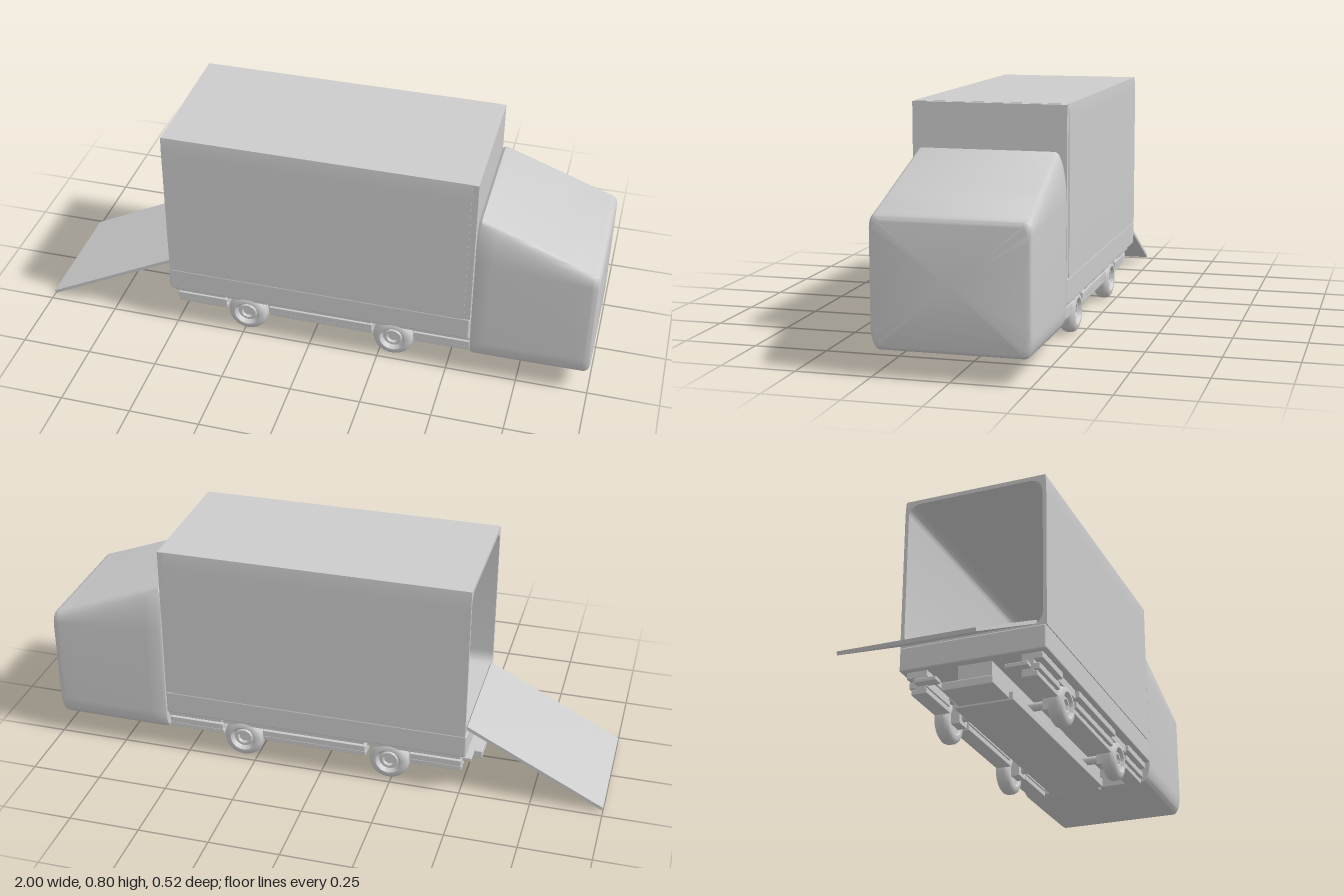
import * as THREE from 'three';
import { RoundedBoxGeometry } from 'three/addons/geometries/RoundedBoxGeometry.js';
import { toCreasedNormals } from 'three/addons/utils/BufferGeometryUtils.js';

const grey = new THREE.MeshStandardMaterial({ color: 0xcccccc });

function add(parent, name, geometry) {
  const mesh = new THREE.Mesh(geometry, grey);
  mesh.name = name;
  parent.add(mesh);
  return mesh;
}

// Box given by its limits, with optionally softened edges
function block(parent, name, [x0, x1], [y0, y1], [z0, z1], r = 0) {
  const size = [x1 - x0, y1 - y0, z1 - z0];
  const geo = r ? new RoundedBoxGeometry(...size, 2, r) : new THREE.BoxGeometry(...size);
  const mesh = add(parent, name, geo);
  mesh.position.set((x0 + x1) / 2, (y0 + y1) / 2, (z0 + z1) / 2);
  return mesh;
}

// Rounded rectangle outline in (across, up)
function roundRect(path, w, y0, y1, r) {
  path.moveTo(-w + r, y0);
  path.lineTo(w - r, y0);
  path.quadraticCurveTo(w, y0, w, y0 + r);
  path.lineTo(w, y1 - r);
  path.quadraticCurveTo(w, y1, w - r, y1);
  path.lineTo(-w + r, y1);
  path.quadraticCurveTo(-w, y1, -w, y1 - r);
  path.lineTo(-w, y0 + r);
  path.quadraticCurveTo(-w, y0, -w + r, y0);
  return path;
}

// Cab cross-section: elliptical corners, taller at the top towards the rear
function cabSection(x, y0, y1, w, topRx, topRy) {
  const pts = [];
  const steps = 8;
  const corner = (sz, sy, rx, ry, from) => {
    for (let k = 0; k <= steps; k++) {
      const a = from + (k / steps) * Math.PI / 2;
      const cy = sy > 0 ? y1 - ry : y0 + ry;
      pts.push([x, cy + ry * Math.sin(a), sz * (w - rx) + rx * Math.cos(a)]);
    }
  };
  corner(1, 1, topRx, topRy, 0);
  corner(-1, 1, topRx, topRy, Math.PI / 2);
  corner(-1, -1, 0.028, 0.07, Math.PI);
  corner(1, -1, 0.028, 0.07, Math.PI * 1.5);
  return pts;
}

// Skin a row of sections and close both ends
function loft(sections) {
  const n = sections[0].length;
  const pos = sections.flat(2);
  const index = [];
  for (let i = 0; i < sections.length - 1; i++) {
    for (let j = 0; j < n; j++) {
      const k = (j + 1) % n;
      const a = i * n + j, b = a + n, c = (i + 1) * n + k, d = i * n + k;
      index.push(a, b, c, a, c, d);
    }
  }
  [0, sections.length - 1].forEach((s, end) => {
    const ys = sections[s].map((p) => p[1]);
    const centre = pos.length / 3;
    pos.push(sections[s][0][0], (Math.min(...ys) + Math.max(...ys)) / 2, 0);
    for (let j = 0; j < n; j++) {
      const a = s * n + j, b = s * n + (j + 1) % n;
      index.push(centre, end ? b : a, end ? a : b);
    }
  });
  const geo = new THREE.BufferGeometry();
  geo.setAttribute('position', new THREE.Float32BufferAttribute(pos, 3));
  geo.setIndex(index);
  return toCreasedNormals(geo, 0.6);
}

function makeCab() {
  const sections = [cabSection(0.58, 0.09, 0.648, 0.256, 0.035, 0.16)];
  // Sloping roof, from the rear to the nose
  for (let i = 0; i <= 8; i++) {
    const t = i / 8;
    const x = 0.59 + t * 0.383;
    sections.push(cabSection(x, 0.085, 0.656 - 0.148 * t, 0.26 - 0.003 * t * t, 0.038 - 0.014 * t, 0.17 - 0.13 * t));
  }
  // Rounded nose edge
  for (let i = 1; i <= 5; i++) {
    const a = (i / 5) * Math.PI / 2;
    const inset = 0.024 * (1 - Math.cos(a));
    sections.push(cabSection(0.974 + 0.024 * Math.sin(a), 0.085 + inset, 0.507 - inset, 0.257 - inset * 0.6, 0.024, 0.04));
  }
  return loft(sections);
}

// Tyre with dished hub, outer side towards +y before turning
function makeWheel(side) {
  const profile = [
    [0, -0.02], [0.04, -0.02], [0.045, -0.027], [0.058, -0.027], [0.068, -0.02], [0.0725, -0.009],
    [0.0725, 0.009], [0.068, 0.02], [0.058, 0.027], [0.046, 0.028], [0.041, 0.022],
    [0.037, 0.012], [0.033, 0.012], [0.03, 0.019], [0.022, 0.019], [0.018, 0.01], [0, 0.01],
  ].map(([x, y]) => new THREE.Vector2(x, y));
  const geo = new THREE.LatheGeometry(profile, 40);
  geo.rotateX(side * Math.PI / 2);
  return toCreasedNormals(geo, 0.7);
}

export function createModel() {
  const model = new THREE.Group();
  model.name = 'boxTruck';

  // Cargo box, open at the rear
  const wall = new THREE.Shape();
  wall.moveTo(-0.26, 0.245);
  wall.lineTo(0.26, 0.245);
  wall.lineTo(0.26, 0.74);
  wall.quadraticCurveTo(0.26, 0.775, 0.257, 0.805);
  wall.lineTo(-0.257, 0.805);
  wall.quadraticCurveTo(-0.26, 0.775, -0.26, 0.74);
  wall.closePath();
  wall.holes.push(roundRect(new THREE.Path(), 0.247, 0.252, 0.79, 0.05));
  const shell = new THREE.ExtrudeGeometry(wall, { depth: 1.07, bevelEnabled: false, curveSegments: 10 });
  shell.rotateY(Math.PI / 2);
  add(model, 'cargoBox', toCreasedNormals(shell, 0.5)).position.x = -0.515;
  block(model, 'cargoFrontWall', [0.55, 0.576], [0.245, 0.804], [-0.257, 0.257]);
  block(model, 'cargoFloor', [-0.52, 0.576], [0.16, 0.246], [-0.259, 0.259], 0.006);

  // Cab
  add(model, 'cab', makeCab());

  // Loading ramp
  const rampLength = Math.hypot(0.485, 0.247);
  const ramp = add(model, 'ramp', new THREE.BoxGeometry(rampLength, 0.012, 0.45));
  ramp.position.set(-0.755, 0.137, 0);
  ramp.rotation.z = Math.atan2(0.247, 0.485);

  // Stepped side rails, interrupted at the wheels
  const spans = [[-0.5, -0.315], [-0.155, 0.225], [0.375, 0.576]];
  const rails = [[0.078, 0.097, 0.222], [0.101, 0.124, 0.23], [0.137, 0.161, 0.24]];
  for (const side of [1, -1]) {
    const across = (a, b) => (side > 0 ? [a, b] : [-b, -a]);
    for (const span of spans) {
      for (const [y0, y1, z] of rails) block(model, 'sideRail', span, [y0, y1], across(0.165, z), 0.003);
      block(model, 'railCore', span, [0.085, 0.16], across(0.17, 0.208));
    }

    // Wheels with guards and inner mounts
    for (const x of [-0.24, 0.3]) {
      const wheel = add(model, 'wheel', makeWheel(side));
      wheel.position.set(x, 0.0755, side * 0.204);
      block(model, 'wheelGuard', [x - 0.078, x + 0.078], [0.128, 0.165], across(0.165, 0.228), 0.004);
      block(model, 'wheelMount', [x - 0.03, x + 0.03], [0.06, 0.162], across(0.15, 0.182));
    }
    block(model, 'rearStep', [-0.53, -0.49], [0.106, 0.121], across(0.12, 0.2), 0.003);
  }

  // Central chassis, axles and rear hitch
  block(model, 'chassisBox', [-0.415, 0.47], [0.045, 0.078], [-0.105, 0.105], 0.004);
  block(model, 'chassisSpine', [-0.49, 0.576], [0.075, 0.162], [-0.06, 0.06]);
  block(model, 'rearHitch', [-0.55, -0.41], [0.052, 0.082], [-0.09, 0.09], 0.004);
  for (const x of [-0.24, 0.3]) {
    const axle = add(model, 'axle', new THREE.CylinderGeometry(0.015, 0.015, 0.38, 16));
    axle.rotation.x = Math.PI / 2;
    axle.position.set(x, 0.088, 0);
  }
  return model;
}
